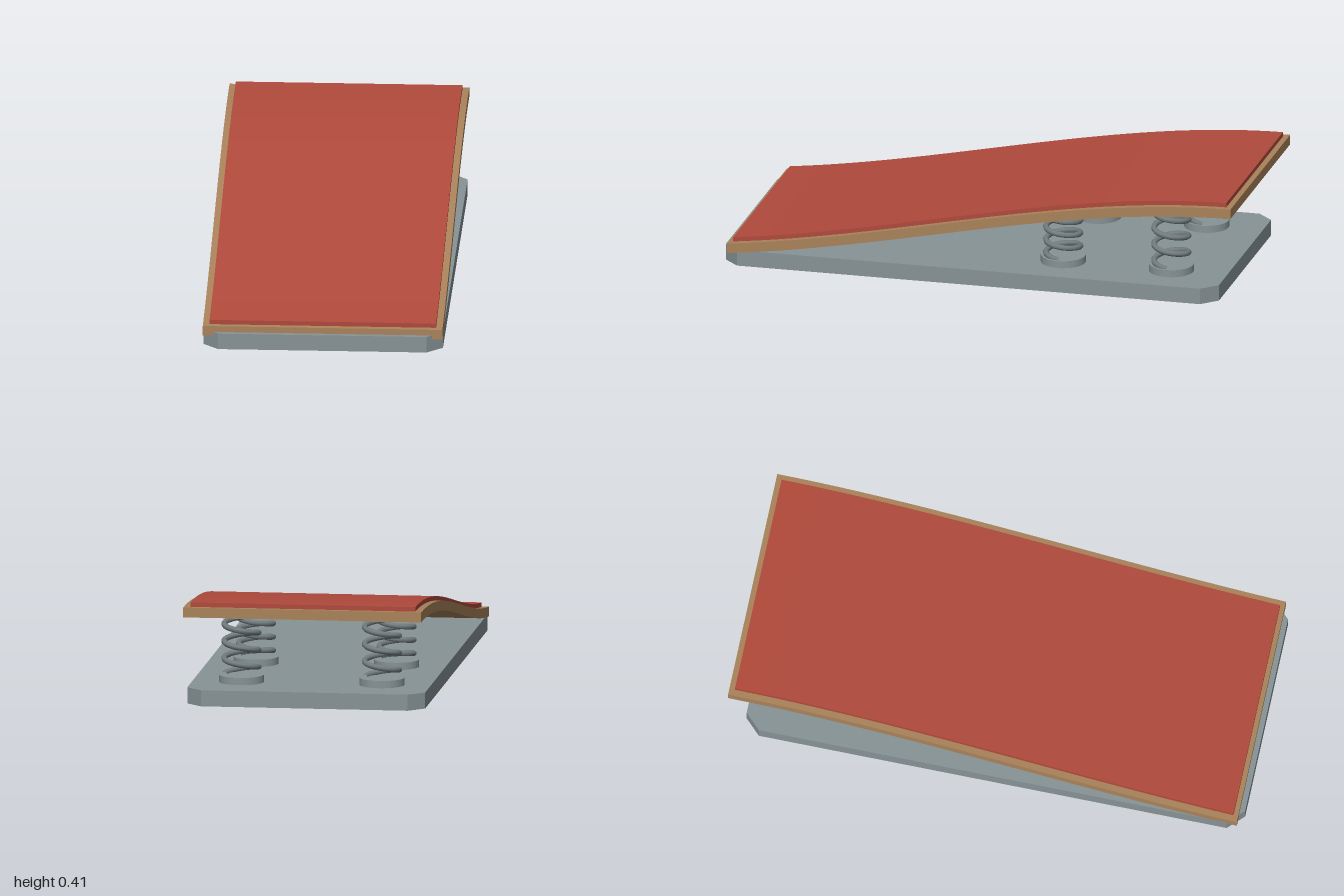
import * as THREE from 'three';
import { toCreasedNormals } from 'three/addons/utils/BufferGeometryUtils.js';

const paint = (color) => new THREE.MeshStandardMaterial({ color });
const steel = paint(0x879396), springSteel = paint(0x727c7e);
const wood = paint(0xa9825a), red = paint(0xb04a3c);

// Height of the deck's upper face: an eased S-curve rising to the back
function deckY(z) {
  const t = (0.98 - z) / 1.98;
  return 0.085 + 0.305 * t * t * (3 - 2 * t) + 0.22 * t * (1 - t) ** 2;
}

// Curved slab following the deck line, between two vertical offsets
function curvedSlab(zFront, zBack, low, high, width) {
  const n = 32, top = [], bottom = [];
  for (let i = 0; i <= n; i++) {
    const z = zFront + (zBack - zFront) * i / n;
    top.unshift(new THREE.Vector2(-z, deckY(z) + high));
    bottom.push(new THREE.Vector2(-z, deckY(z) + low));
  }
  const geo = new THREE.ExtrudeGeometry(new THREE.Shape([...bottom, ...top]), { depth: width, bevelEnabled: false });
  geo.translate(0, 0, -width / 2).rotateY(Math.PI / 2);
  return toCreasedNormals(geo, 0.5);
}

class Helix extends THREE.Curve {
  constructor(radius, y0, y1, turns) {
    super();
    Object.assign(this, { radius, y0, y1, turns });
  }
  getPoint(t, target = new THREE.Vector3()) {
    const a = t * this.turns * Math.PI * 2;
    return target.set(Math.cos(a) * this.radius, this.y0 + (this.y1 - this.y0) * t, Math.sin(a) * this.radius);
  }
}

export function createModel() {
  const model = new THREE.Group();
  const add = (parent, name, geo, mat) => {
    const mesh = new THREE.Mesh(geo, mat);
    mesh.name = name;
    parent.add(mesh);
    return mesh;
  };

  // Base plate with clipped corners
  const w = 0.457, f = 1, b = -0.94, c = 0.06;
  const outline = [[-w + c, -f], [w - c, -f], [w, -f + c], [w, -b - c], [w - c, -b], [-w + c, -b], [-w, -b - c], [-w, -f + c]];
  const plate = new THREE.ExtrudeGeometry(
    new THREE.Shape(outline.map(([x, y]) => new THREE.Vector2(x, y))), { depth: 0.062, bevelEnabled: false });
  add(model, 'basePlate', plate.rotateX(-Math.PI / 2), steel);

  // Wooden deck and padded cover
  add(model, 'deck', curvedSlab(0.98, -1, -0.038, 0, 0.914), wood);
  add(model, 'pad', curvedSlab(0.962, -0.978, -0.002, 0.017, 0.864), red);

  // Four coil springs, each between two round cups
  for (const [z, cupBottom, cupTop] of [[-0.295, 0.267, 0.3], [-0.72, 0.317, 0.352]]) {
    for (const x of [-0.27, 0.27]) {
      const unit = new THREE.Group();
      unit.name = 'springUnit';
      unit.position.set(x, 0, z);
      const cup = (name, r, y0, y1) =>
        add(unit, name, new THREE.CylinderGeometry(r, r, y1 - y0, 28), steel).position.y = (y0 + y1) / 2;
      cup('lowerCup', 0.086, 0.06, 0.09);
      cup('upperCup', 0.084, cupBottom, cupTop);
      add(unit, 'spring', new THREE.TubeGeometry(new Helix(0.066, 0.088, cupBottom + 0.002, 3.5), 110, 0.011, 8), springSteel);
      model.add(unit);
    }
  }
  return model;
}
